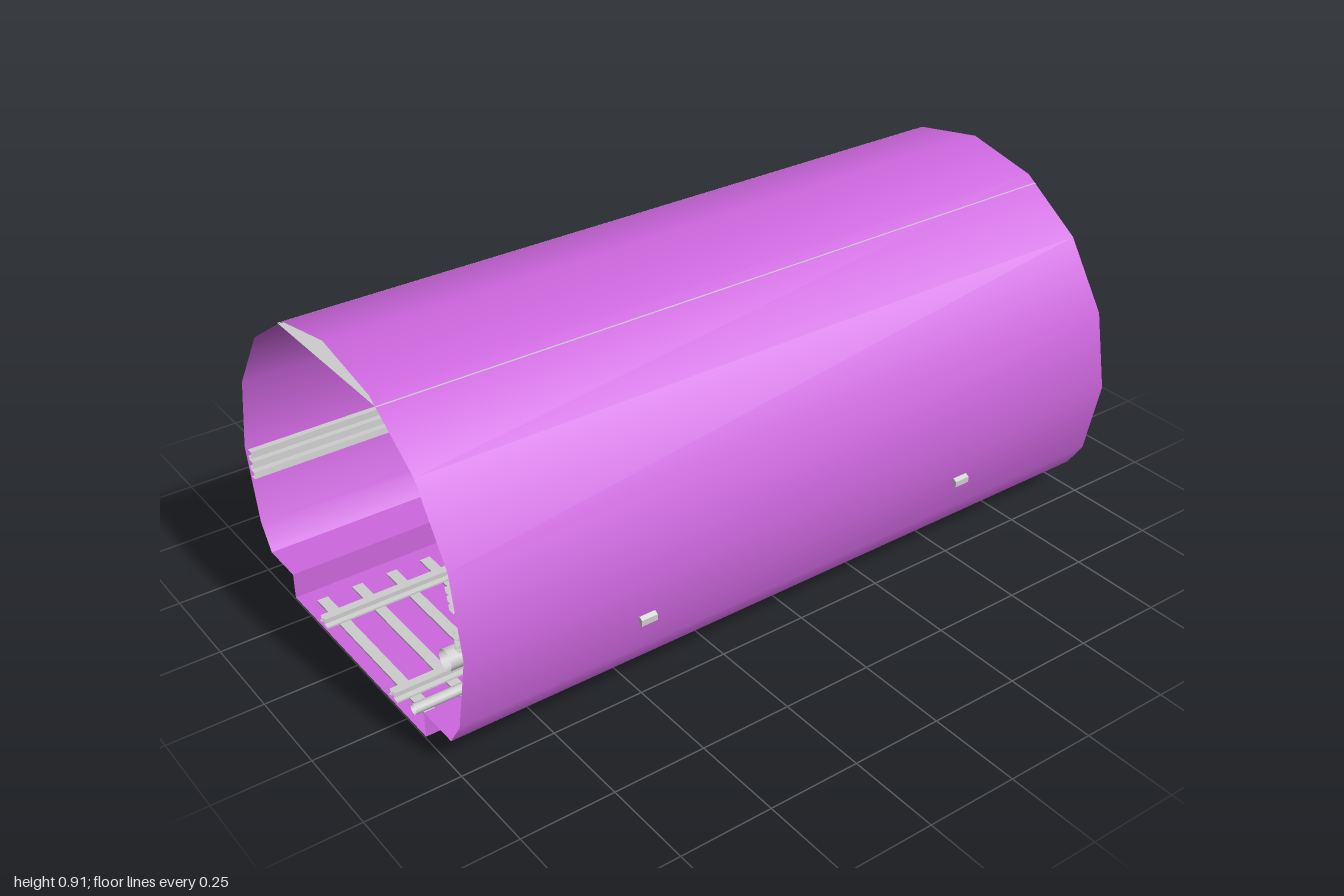
import * as THREE from 'three';

const CY = 0.358, R = 0.55;            // tunnel circle centre height and radius
const grey = new THREE.MeshStandardMaterial({ color: 0xcccccc, side: THREE.DoubleSide });
const purple = new THREE.MeshStandardMaterial({ color: 0xcc66dd, side: THREE.DoubleSide });

// Open strip: a [z, y] profile drawn out along x
function sweep(profile, smooth, x0 = -1, x1 = 1) {
  const pos = [], idx = [];
  for (const [z, y] of profile) pos.push(x0, y, z, x1, y, z);
  for (let i = 0; i < profile.length - 1; i++) {
    const a = i * 2;
    idx.push(a, a + 1, a + 3, a, a + 3, a + 2);
  }
  let g = new THREE.BufferGeometry();
  g.setAttribute('position', new THREE.Float32BufferAttribute(pos, 3));
  g.setIndex(idx);
  if (!smooth) g = g.toNonIndexed();
  g.computeVertexNormals();
  return g;
}

export function createModel() {
  const model = new THREE.Group();
  const add = (name, geo, mat, x = 0, y = 0, z = 0) => {
    const m = new THREE.Mesh(geo, mat);
    m.name = name;
    m.position.set(x, y, z);
    model.add(m);
    return m;
  };

  // Round shell, a 16-sided circle cut off above the floor trough
  const arc = [[0.462, 0.077]];
  for (let i = -1; i <= 9; i++) {
    const t = i * Math.PI / 8;
    arc.push([R * Math.cos(t), CY + R * Math.sin(t)]);
  }
  arc.push([-0.462, 0.077]);
  add('shell', sweep(arc, true), purple);

  // Floor trough with a ledge on each side
  add('floorTrough', sweep([[-0.462, 0.077], [-0.338, 0.077], [-0.338, 0.005],
    [0.338, 0.005], [0.338, 0.077], [0.462, 0.077]], false), purple);

  // Flat ceiling
  add('ceilingPanel', sweep([[0.24, 0.85], [-0.24, 0.85]], false), grey);

  // Ribbed cable runs on the walls
  const cableRun = (side, y0, y1) => {
    const pts = [], ribs = 3, step = (y1 - y0) / ribs;
    const wall = (y, off) => side * (Math.sqrt(0.536 ** 2 - (y - CY) ** 2) - off);
    for (let i = 0; i < ribs; i++) {
      const a = y0 + i * step, b = a + step * 0.6;
      pts.push([wall(a, 0.004), a], [wall(a, 0.022), a], [wall(b, 0.022), b], [wall(b, 0.004), b]);
    }
    add('cableRun', sweep(pts, false), grey);
  };
  cableRun(1, 0.37, 0.43);
  cableRun(1, 0.47, 0.53);
  cableRun(-1, 0.28, 0.37);

  // Pipes along the front side, with collars
  const pipe = (name, r, len, x, y, z) => {
    const g = new THREE.CylinderGeometry(r, r, len, 10, 1, true).rotateZ(Math.PI / 2);
    add(name, g, grey, x, y, z);
  };
  pipe('wallPipe', 0.028, 2, 0, 0.31, 0.465);
  pipe('floorPipe', 0.014, 2, 0, 0.051, 0.285);
  for (const x of [-0.73, 0.73]) pipe('pipeCollar', 0.035, 0.07, x, 0.31, 0.465);

  // Bent hangers that carry the wall pipe through the shell
  const hanger = new THREE.Shape([[0.54, 0.232], [0.49, 0.26], [0.455, 0.26], [0.434, 0.27],
    [0.434, 0.288], [0.46, 0.278], [0.49, 0.278], [0.54, 0.248]].map(([z, y]) => new THREE.Vector2(-z, y)));
  for (const x of [-0.5, 0.5]) {
    const g = new THREE.ExtrudeGeometry(hanger, { depth: 0.045, bevelEnabled: false });
    add('pipeHanger', g.translate(0, 0, -0.0225).rotateY(Math.PI / 2), grey, x);
  }

  // Wall pins set across the back of the shell
  for (const x of [-0.71, -0.49, 0.31, 0.53]) {
    const pin = add('wallPin', new THREE.BoxGeometry(0.008, 0.026, 0.026), purple, x, 0.657, -0.448);
    pin.rotation.x = 33.75 * Math.PI / 180;
  }

  // Track: sleepers and two open rails
  for (let i = 0; i < 20; i++) {
    add('sleeper', new THREE.BoxGeometry(0.03, 0.005, 0.62), grey, -0.95 + i * 0.1, 0.0095, 0.025);
  }
  for (const z of [-0.18, 0.18]) {
    add('rail', sweep([[z - 0.02, 0.012], [z - 0.02, 0.017], [z - 0.006, 0.019], [z - 0.006, 0.029],
      [z - 0.012, 0.03], [z - 0.012, 0.037], [z + 0.012, 0.037], [z + 0.012, 0.03],
      [z + 0.006, 0.029], [z + 0.006, 0.019], [z + 0.02, 0.017], [z + 0.02, 0.012]], false), grey);
  }

  // Angle brackets and cradles beside the track
  for (const x of [-0.8, -0.4, 0, 0.4, 0.8]) {
    add('bracketPost', new THREE.BoxGeometry(0.02, 0.084, 0.004), grey, x, 0.042, 0.329);
    add('bracketArm', new THREE.BoxGeometry(0.02, 0.004, 0.046), grey, x, 0.082, 0.308);
    add('cradleFoot', new THREE.BoxGeometry(0.025, 0.012, 0.01), grey, x, 0.018, 0.285);
    for (const s of [-1, 1]) {
      const arm = add('cradleArm', new THREE.BoxGeometry(0.025, 0.02, 0.004), grey, x, 0.03, 0.285 + s * 0.01);
      arm.rotation.x = s * 0.6;
    }
  }
  return model;
}
